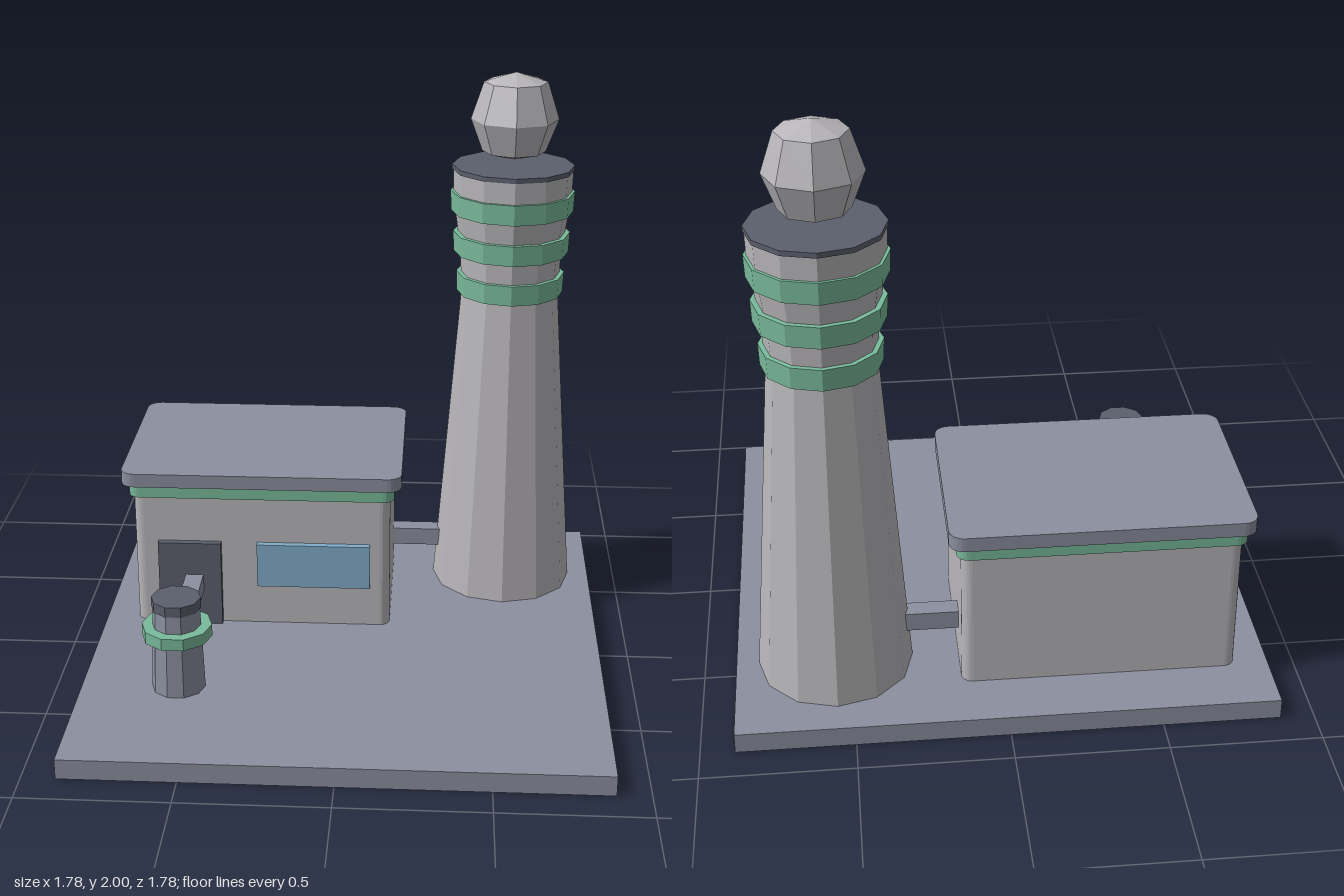
import * as THREE from 'three';

function material(name, color) {
  const m = new THREE.MeshStandardMaterial({ color, flatShading: true });
  m.name = name;
  return m;
}

// Upright slab with rounded corners, standing on y = 0
function roundedSlab(w, d, h, r) {
  const x = w / 2, y = d / 2, s = new THREE.Shape();
  s.absarc(x - r, y - r, r, 0, Math.PI / 2);
  s.absarc(-x + r, y - r, r, Math.PI / 2, Math.PI);
  s.absarc(-x + r, -y + r, r, Math.PI, Math.PI * 1.5);
  s.absarc(x - r, -y + r, r, Math.PI * 1.5, Math.PI * 2);
  s.closePath();
  const g = new THREE.ExtrudeGeometry(s, { depth: h, bevelEnabled: false, curveSegments: 3 });
  return g.rotateX(-Math.PI / 2);
}

function lathe(profile, sides) {
  return new THREE.LatheGeometry(profile.map(([r, y]) => new THREE.Vector2(r, y)), sides);
}

export function createModel() {
  const slate = material('slate grey', 0x8c90a0);
  const dark = material('dark slate', 0x5c606e);
  const wall = material('pale concrete', 0xb9b7ba);
  const green = material('mint green', 0x7abb9b);
  const glass = material('window blue', 0x82adca);

  const model = new THREE.Group();
  model.name = 'towerStation';

  function add(parent, name, geometry, mat, x = 0, y = 0, z = 0) {
    const m = new THREE.Mesh(geometry, mat);
    m.name = name;
    m.position.set(x, y, z);
    parent.add(m);
    return m;
  }
  function group(name, x, z) {
    const g = new THREE.Group();
    g.name = name;
    g.position.set(x, 0, z);
    model.add(g);
    return g;
  }
  // Box given by its lower and upper corners
  function box(parent, name, mat, [x0, y0, z0], [x1, y1, z1]) {
    const g = new THREE.BoxGeometry(x1 - x0, y1 - y0, z1 - z0);
    return add(parent, name, g, mat, (x0 + x1) / 2, (y0 + y1) / 2, (z0 + z1) / 2);
  }

  // Ground plate
  box(model, 'basePlate', slate, [-0.888, 0, -0.888], [0.888, 0.07, 0.888]);

  // Tower: tapered shaft with a flared head
  const tower = group('tower', 0.555, -0.52);
  add(tower, 'towerShaft', lathe([
    [0, 0.07], [0.258, 0.07], [0.174, 1.21], [0.182, 1.36],
    [0.202, 1.5], [0.211, 1.58], [0.213, 1.655], [0, 1.655],
  ], 12), wall);
  [[1.205, 0.191, 0.194], [1.355, 0.206, 0.209], [1.505, 0.218, 0.221]].forEach(([y, r0, r1], i) => {
    add(tower, 'towerBand' + (i + 1), new THREE.CylinderGeometry(r1, r0, 0.073, 12), green, 0, y + 0.0365, 0);
  });
  add(tower, 'towerCap', new THREE.CylinderGeometry(0.217, 0.217, 0.017, 12), dark, 0, 1.6635, 0);

  // Faceted lamp floating above the cap
  add(tower, 'lamp', lathe([
    [0, 1.69], [0.112, 1.721], [0.155, 1.835], [0.112, 1.966], [0, 2],
  ], 8), wall);

  // House
  const house = group('house', -0.316, -0.376);
  add(house, 'houseWalls', roundedSlab(0.916, 0.63, 0.5, 0.035), wall, 0, 0.07, 0);
  add(house, 'houseTrim', roundedSlab(0.946, 0.66, 0.048, 0.04), green, 0, 0.562, 0);
  add(house, 'houseRoof', roundedSlab(0.996, 0.7, 0.05, 0.05), slate, 0, 0.61, 0);
  box(model, 'door', dark, [-0.688, 0.07, -0.07], [-0.462, 0.39, -0.037]);
  box(model, 'window', glass, [-0.333, 0.226, -0.07], [0.072, 0.39, -0.037]);

  // Small ten-sided tank with a collar
  const tank = group('tank', -0.558, 0.404);
  tank.rotation.y = Math.PI / 2;
  add(tank, 'tankBody', new THREE.CylinderGeometry(0.08, 0.091, 0.3, 10), slate, 0, 0.22, 0);
  add(tank, 'tankCollar', new THREE.CylinderGeometry(0.119, 0.119, 0.042, 10), green, 0, 0.285, 0);
  add(tank, 'tankCap', new THREE.CylinderGeometry(0.084, 0.084, 0.036, 10), dark, 0, 0.388, 0);

  // Square ducts joining the house to the tower and to the tank
  box(model, 'towerDuct', slate, [0.1, 0.19, -0.555], [0.4, 0.255, -0.49]);
  box(model, 'tankDuct', slate, [-0.591, 0.202, -0.08], [-0.527, 0.267, 0.37]);

  return model;
}
